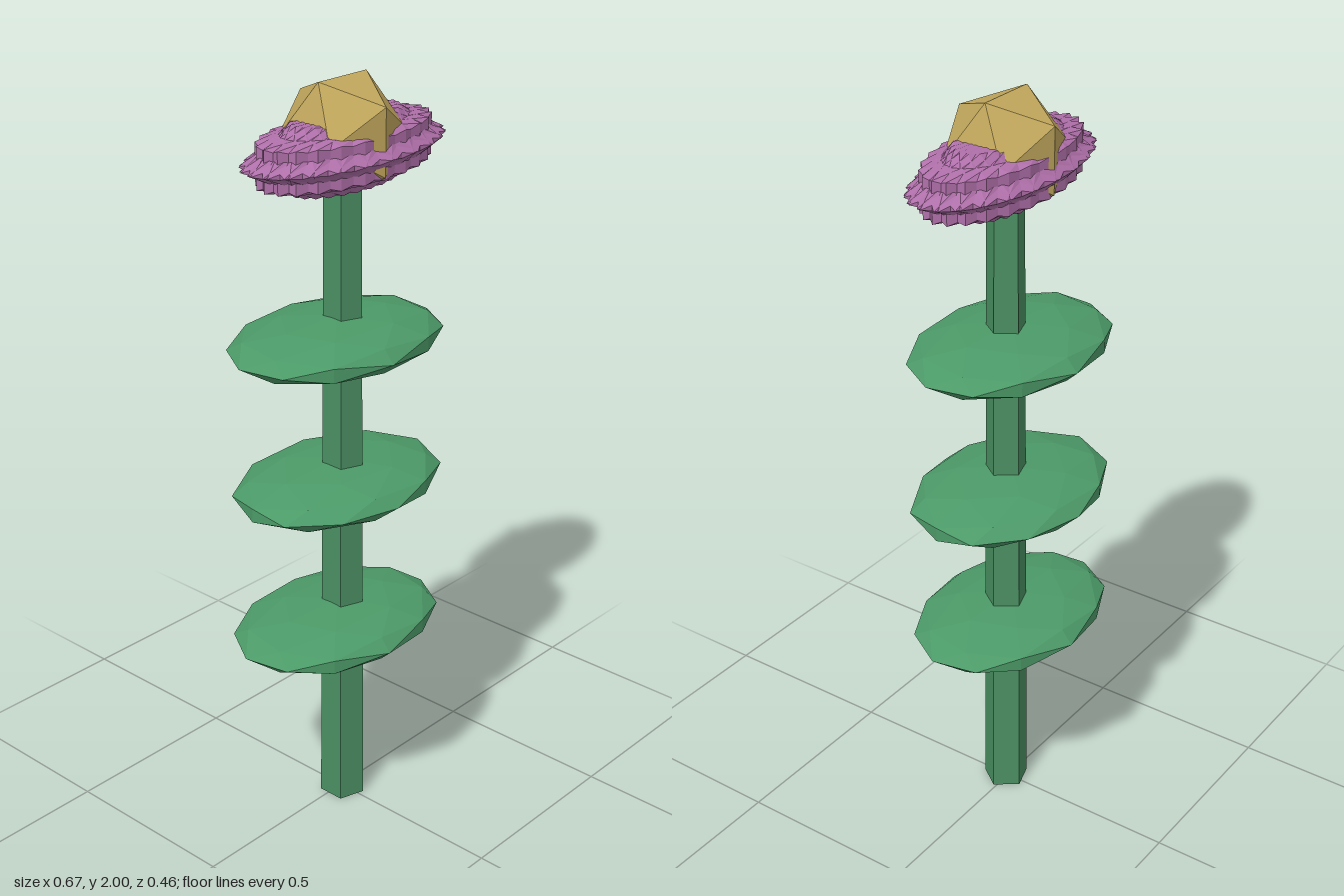
import * as THREE from 'three';

const material = (color) => new THREE.MeshStandardMaterial({ color, flatShading: true });
const deg = THREE.MathUtils.degToRad;

// Faceted ellipsoid: an icosahedron turned about y, then stretched
function faceted(detail, turn, rx, ry, rz) {
  return new THREE.IcosahedronGeometry(1, detail).rotateY(deg(turn)).scale(rx, ry, rz);
}

export function createModel() {
  const model = new THREE.Group();
  const add = (name, geometry, mat, x, y, z, parent = model) => {
    const mesh = new THREE.Mesh(geometry, mat);
    mesh.name = name;
    mesh.position.set(x, y, z);
    parent.add(mesh);
  };
  const leafGreen = material(0x4c9a68);
  const stemGreen = material(0x4a8f62);
  const purple = material(0xb070aa);
  const gold = material(0xc0a65c);

  // Tapered five-sided stem with one edge towards +x
  const stem = new THREE.CylinderGeometry(0.048, 0.062, 1.83, 5, 1, false, Math.PI / 2);
  add('stem', stem, stemGreen, -0.002, 0.915, 0.009);

  // Three flat leaves, the middle one turned
  for (let i = 0; i < 3; i++) {
    const middle = i === 1;
    const leaf = faceted(1, middle ? 54 : -8, 0.315, 0.06, 0.226);
    add('leaf', leaf, leafGreen, middle ? -0.005 : -0.024, 0.55 + i * 0.4, middle ? -0.005 : 0.007);
  }

  // Spiky ring of petals: stretched icosahedra fanned through half a turn
  const petals = new THREE.Group();
  petals.name = 'petals';
  model.add(petals);
  const count = 12;
  for (let i = 0; i < count; i++) {
    add('petal', faceted(0, (i * 180) / count, 0.328, 0.1, 0.154), purple, 0.009, 1.825, 0.007, petals);
  }

  // Flower centre
  add('flowerCentre', new THREE.IcosahedronGeometry(0.16), gold, -0.002, 1.864, 0.007);

  return model;
}
